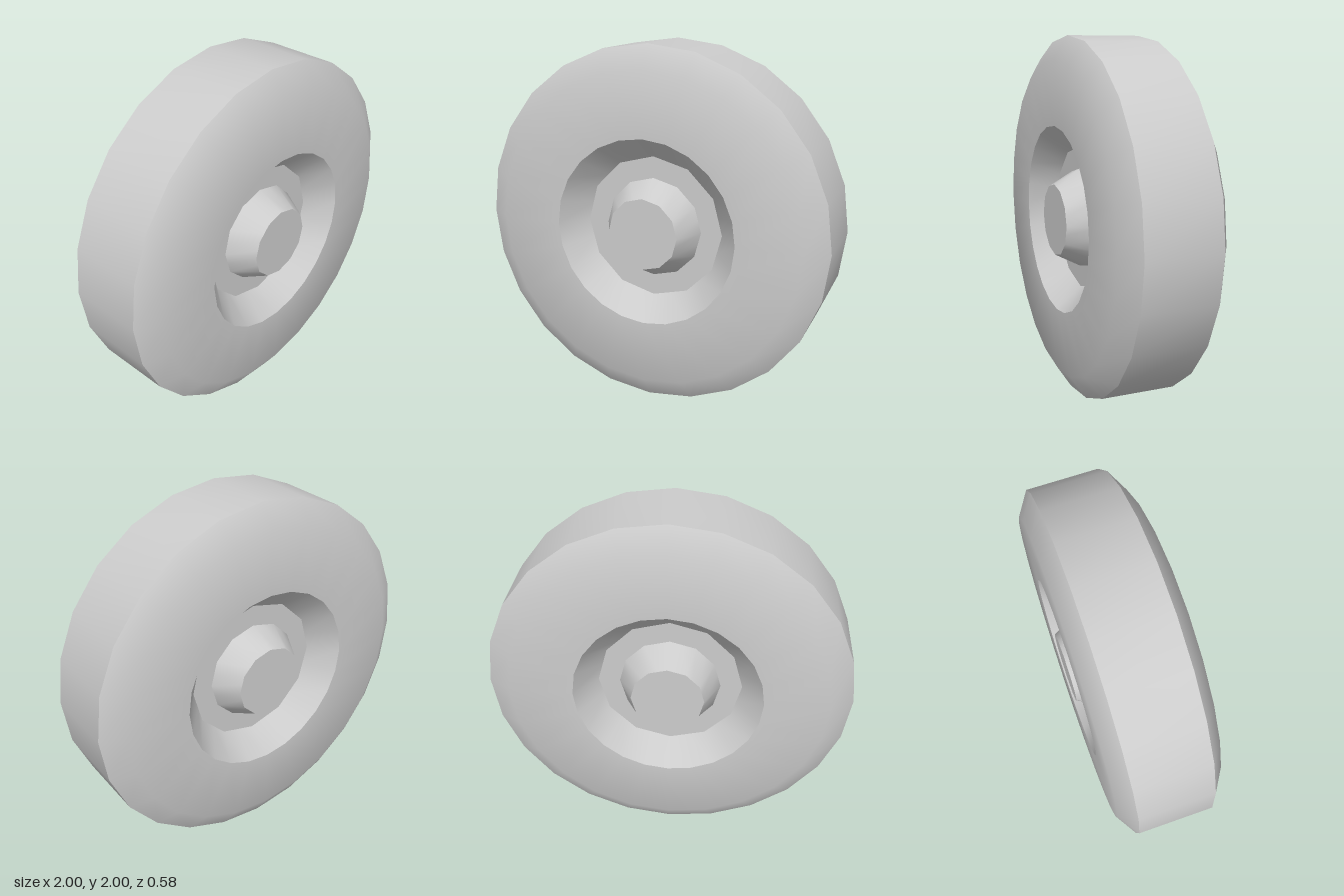
import * as THREE from 'three';
import { toCreasedNormals } from 'three/addons/utils/BufferGeometryUtils.js';

const SIDES = 24;
const material = new THREE.MeshStandardMaterial({ color: 0xcccccc });

// Turn a [radius, z] profile about the z axis. Rings of radius 0.4 or less are
// 12-sided: their odd vertices lie on the middle of each chord.
function turned(name, profile) {
  const geo = new THREE.LatheGeometry(profile.map(([r, z]) => new THREE.Vector2(r, z)), SIDES);
  const pos = geo.attributes.position;
  const chord = Math.cos(Math.PI / 12);
  for (let i = 0; i < pos.count; i++) {
    const side = Math.floor(i / profile.length);
    const radius = profile[i % profile.length][0];
    if (side % 2 === 1 && radius < 0.45) {
      pos.setXYZ(i, pos.getX(i) * chord, pos.getY(i), pos.getZ(i) * chord);
    }
  }
  geo.rotateX(Math.PI / 2);
  const mesh = new THREE.Mesh(toCreasedNormals(geo, 0.65), material);
  mesh.name = name;
  return mesh;
}

export function createModel() {
  const wheel = new THREE.Group();
  wheel.name = 'wheel';
  wheel.position.y = 1;

  // Tyre: side walls, bevelled shoulders and flat tread
  wheel.add(turned('tyre', [
    [0.52, -0.285], [0.875, -0.285], [1, -0.205],
    [1, 0.205], [0.875, 0.285], [0.52, 0.285],
  ]));

  // Recessed rim and tapered hub, the same on both faces
  for (const side of ['front', 'back']) {
    const face = new THREE.Group();
    face.name = side + 'Face';
    face.add(turned('rim', [[0.52, 0.285], [0.4, 0.14], [0.28, 0.14]]));
    face.add(turned('hub', [[0.28, 0.14], [0.2, 0.29], [0, 0.29]]));
    if (side === 'back') face.rotation.y = Math.PI;
    wheel.add(face);
  }

  const model = new THREE.Group();
  model.add(wheel);
  return model;
}
